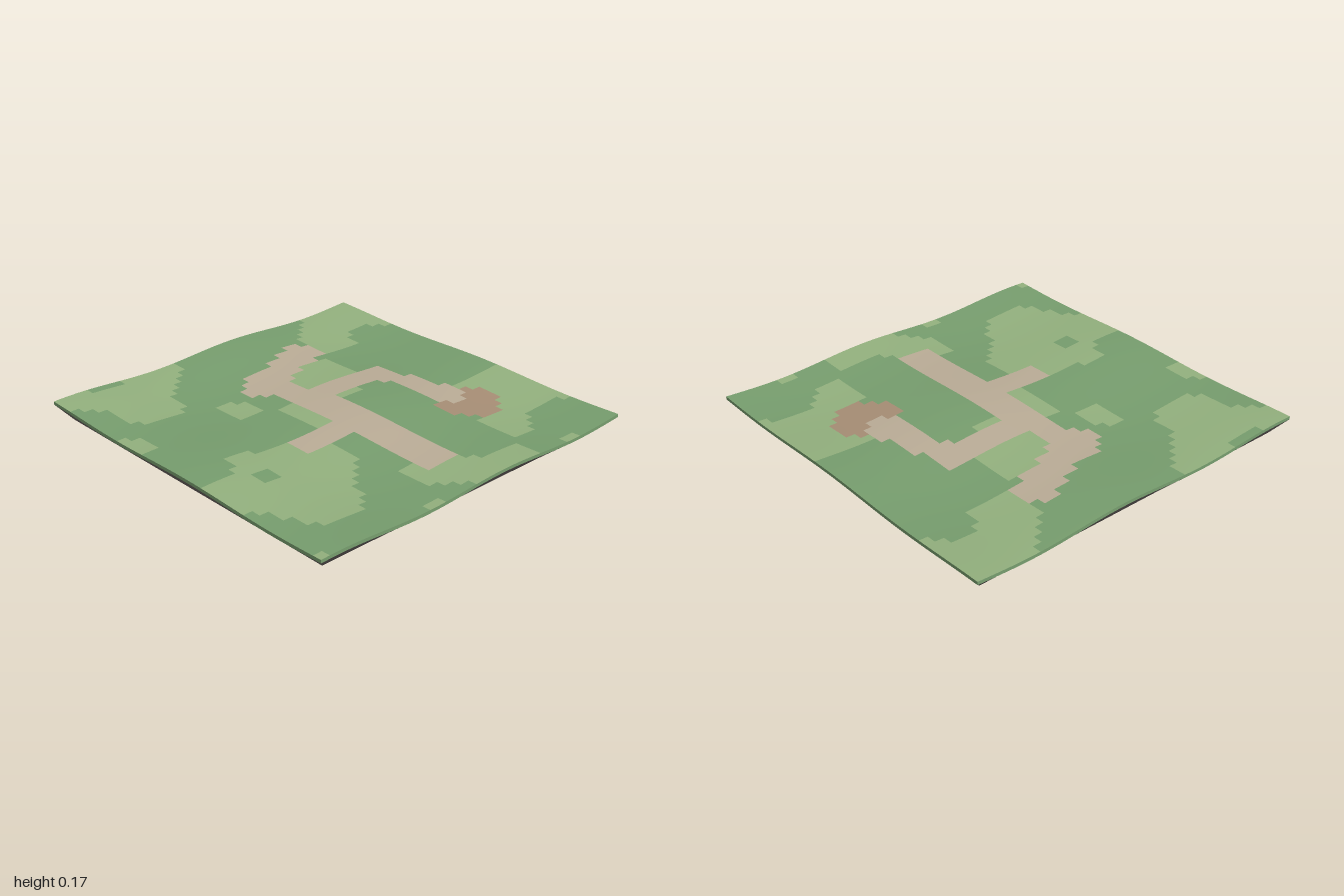
import * as THREE from 'three';

const N = 40, CELL = 2 / N;
const COLORS = {
  darkGrass: 0x789f6f, lightGrass: 0x94b27f, path: 0xbcae98, bareEarth: 0xa88f76,
  rock: 0x79736f, dirtLight: 0x5c4d3d, dirtDark: 0x4d4033, base: 0x3a2e28,
};

// Gently rolling ground
const height = (x, z) =>
  0.147 + 0.012 * Math.cos(6 * (x - 0.15)) + 0.007 * Math.cos(5.5 * (z - 0.1)) - 0.003 * z;
const groundNormal = (x, z) => new THREE.Vector3(
  0.072 * Math.sin(6 * (x - 0.15)), 1, 0.0385 * Math.sin(5.5 * (z - 0.1)) + 0.003).normalize();

// Ground areas as outlines [x, z, x, z, ...] and rectangles [x0, x1, z0, z1]
const westMeadows = [
  [-1, -1, -0.25, -1, -0.25, -0.9, -0.4, -0.75, -0.5, -0.68, -0.5, -0.55, -0.6, -0.5, -0.75, -0.5,
    -0.85, -0.6, -0.86, -0.72, -1, -0.85],
  [-1, 0.2, -0.85, 0.2, -0.75, 0.15, -0.75, 0.05, -0.6, 0.05, -0.6, 0.1, -0.4, 0.1, -0.4, 0.25, -0.25, 0.25,
    -0.25, 0.45, -0.4, 0.55, -0.5, 0.72, -0.6, 0.8, -0.75, 0.8, -0.86, 0.7, -0.92, 0.55, -1, 0.5],
  [-1, -0.45, -0.95, -0.45, -0.9, -0.35, -0.93, -0.25, -1, -0.25],
  [-0.35, -0.45, -0.3, -0.45, -0.3, -0.4, -0.25, -0.4, -0.25, -0.25, -0.35, -0.25, -0.4, -0.3, -0.4, -0.4],
];
const eastMeadows = [
  [0.65, -1, 1, -1, 1, -0.6, 0.95, -0.6, 0.9, -0.7, 0.75, -0.7, 0.7, -0.55, 0.45, -0.55, 0.45, -0.77, 0.6, -0.9],
  [0.68, 0.2, 1, 0.2, 1, 0.74, 0.9, 0.65, 0.75, 0.65, 0.65, 0.75, 0.55, 0.8, 0.45, 0.8, 0.45, 0.6, 0.55, 0.4],
  [-0.2, 0.65, 0.1, 0.65, 0.1, 0.8, 0.15, 0.8, 0.15, 0.85, 0.4, 0.85, 0.4, 1, -0.05, 1, -0.1, 0.9, -0.2, 0.83],
  [0.05, -0.4, 0.25, -0.5, 0.4, -0.5, 0.4, -0.25, 0.05, -0.25],
];
const smallTufts = [
  [-0.2, -0.1, -0.2, 0.1], [0.1, 0.25, -0.1, -0.05], [-0.35, -0.25, 0.95, 1],
  [0.6, 0.7, 0.95, 1], [-1, -0.95, 0.95, 1],
];
const meadowGaps = [[-0.8, -0.6, -1, -0.95], [-0.75, -0.65, 0.25, 0.35]];
const pathBars = [
  [-0.1, 0.1, -0.25, 0.75], [-0.4, -0.1, 0.1, 0.25], [-0.1, 0.55, -0.25, -0.1], [0.4, 0.55, -0.1, -0.05],
  [0.45, 0.6, -0.05, 0.15], [0.45, 0.65, 0.15, 0.3], [0.5, 0.6, 0.3, 0.35],
];
const pathBend = [-0.2, -0.5, -0.1, -0.57, 0.1, -0.62, 0.35, -0.75, 0.4, -0.75, 0.45, -0.7, 0.45, -0.55,
  0.2, -0.47, 0.05, -0.4, 0.05, -0.25, -0.1, -0.25, -0.1, -0.35, -0.2, -0.42];

const inRect = (x, z) => ([x0, x1, z0, z1]) => x > x0 && x < x1 && z > z0 && z < z1;
const inOutline = (x, z) => (p) => {
  let inside = false;
  for (let i = 0, j = p.length - 2; i < p.length; j = i, i += 2) {
    if ((p[i + 1] > z) !== (p[j + 1] > z) &&
      x < p[i] + (p[j] - p[i]) * (z - p[i + 1]) / (p[j + 1] - p[i + 1])) inside = !inside;
  }
  return inside;
};

function groundKind(x, z) {
  const rect = inRect(x, z), outline = inOutline(x, z);
  if (pathBars.some(rect) || outline(pathBend)) return 'path';
  if (Math.hypot(x - 0.575, z - 0.375) < 0.18) return 'bareEarth';
  if (meadowGaps.some(rect)) return 'darkGrass';
  if (westMeadows.some(outline) || eastMeadows.some(outline) || smallTufts.some(rect)) return 'lightGrass';
  return 'darkGrass';
}

// Two triangles from four corners, counter-clockwise from outside
function addQuad(list, a, b, c, d) {
  for (const p of [a, b, c, a, c, d]) list.push(...p);
}

function makeMesh(name, positions, color, smoothGround = false) {
  const geometry = new THREE.BufferGeometry();
  geometry.setAttribute('position', new THREE.Float32BufferAttribute(positions, 3));
  geometry.computeVertexNormals();
  if (smoothGround) {
    const { position, normal } = geometry.attributes;
    for (let i = 0; i < position.count; i++) {
      const n = groundNormal(position.getX(i), position.getZ(i));
      normal.setXYZ(i, n.x, n.y, n.z);
    }
  }
  const mesh = new THREE.Mesh(geometry, new THREE.MeshStandardMaterial({ color }));
  mesh.name = name;
  return mesh;
}

export function createModel() {
  const group = new THREE.Group();
  group.name = 'terrainTile';

  // Ground surface, sorted cell by cell into its colours
  const ground = { darkGrass: [], lightGrass: [], path: [], bareEarth: [] };
  const point = (x, z) => [x, height(x, z), z];
  for (let i = 0; i < N; i++) {
    for (let j = 0; j < N; j++) {
      const x0 = -1 + i * CELL, z0 = -1 + j * CELL, x1 = x0 + CELL, z1 = z0 + CELL;
      addQuad(ground[groundKind(x0 + CELL / 2, z0 + CELL / 2)],
        point(x0, z1), point(x1, z1), point(x1, z0), point(x0, z0));
    }
  }
  for (const kind in ground) group.add(makeMesh(kind, ground[kind], COLORS[kind], true));

  // Four sides: grass rim, sloping rock, then striped dirt
  const sides = { grassRim: [], rock: [], dirtLight: [], dirtDark: [] };
  const levels = [
    { r: 1, y: (x, z) => height(x, z) },
    { r: 1, y: (x, z) => height(x, z) - 0.017 },
    { r: 0.93, y: () => 0.065 },
    { r: 0.81, y: () => 0 },
  ];
  for (let s = 0; s < 4; s++) {
    const cos = Math.round(Math.cos(s * Math.PI / 2)), sin = Math.round(Math.sin(s * Math.PI / 2));
    const edge = (t, { r, y }) => {
      const x = t * cos + sin, z = -t * sin + cos;
      return [x * r, y(x, z), z * r];
    };
    for (let i = 0; i < N; i++) {
      const t0 = -1 + i * CELL, t1 = t0 + CELL;
      const stripe = ((i >> 1) * 7 + s * 3) % 5 < 2 ? 'dirtDark' : 'dirtLight';
      ['grassRim', 'rock', stripe].forEach((part, k) => addQuad(sides[part],
        edge(t0, levels[k + 1]), edge(t1, levels[k + 1]), edge(t1, levels[k]), edge(t0, levels[k])));
    }
  }
  for (const part in sides) group.add(makeMesh(part, sides[part], COLORS[part] ?? COLORS.darkGrass));

  // Flat underside
  const base = [], b = 0.81;
  addQuad(base, [-b, 0, -b], [b, 0, -b], [b, 0, b], [-b, 0, b]);
  group.add(makeMesh('base', base, COLORS.base));
  return group;
}
